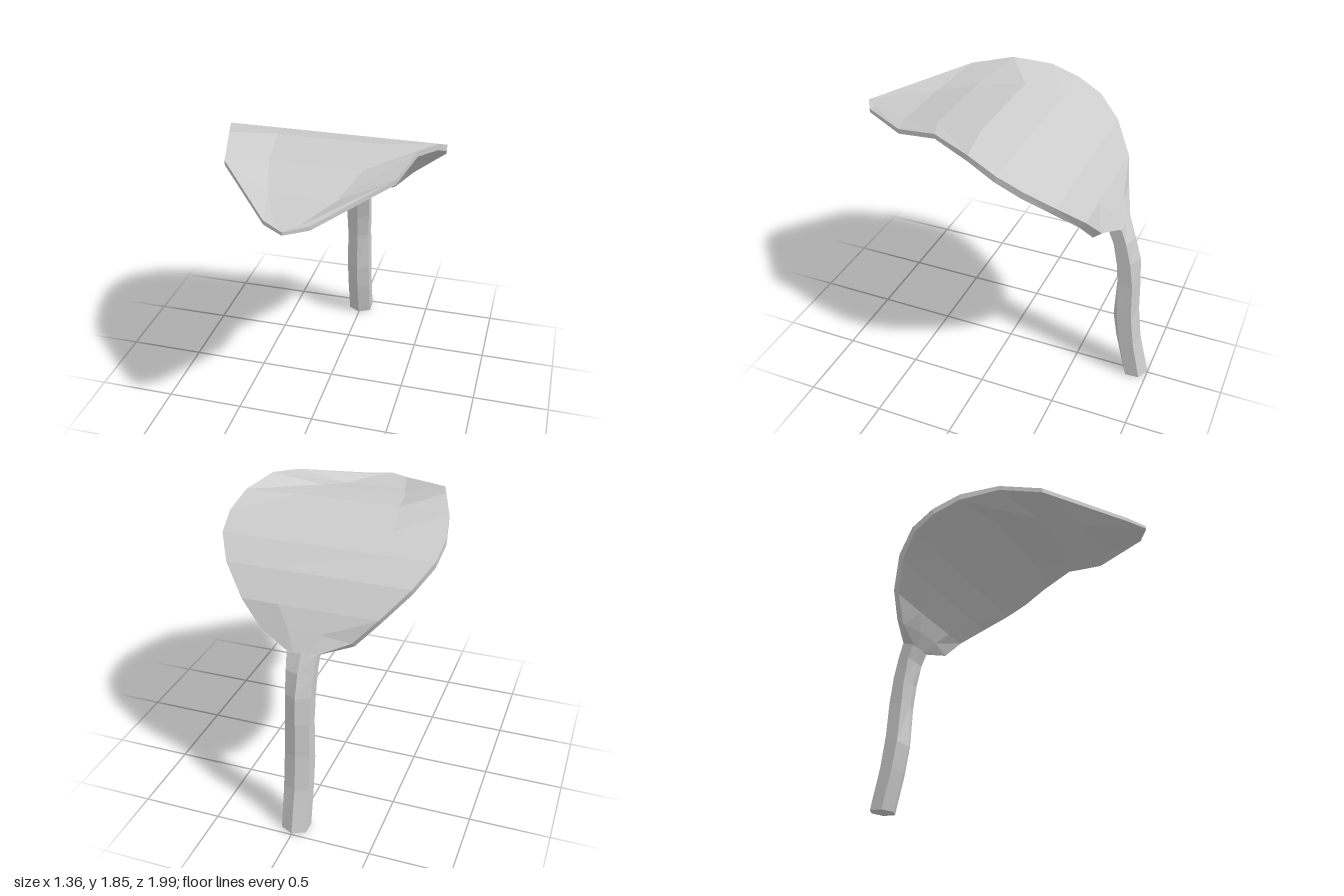
import * as THREE from 'three';

// Skin a series of rings (each clockwise seen from the start end) and cap both ends
function loft(rings) {
  const pos = [];
  const tri = (...pts) => pts.forEach((p) => pos.push(...p));
  const n = rings[0].length;
  for (let r = 0; r < rings.length - 1; r++) {
    const a = rings[r], b = rings[r + 1];
    for (let i = 0; i < n; i++) {
      const j = (i + 1) % n;
      tri(a[i], a[j], b[j]);
      tri(a[i], b[j], b[i]);
    }
  }
  const first = rings[0], last = rings[rings.length - 1];
  for (let i = 1; i < n - 1; i++) {
    tri(first[0], first[i + 1], first[i]);
    tri(last[0], last[i], last[i + 1]);
  }
  const geo = new THREE.BufferGeometry();
  geo.setAttribute('position', new THREE.Float32BufferAttribute(pos, 3));
  geo.computeVertexNormals();
  return geo;
}

// Blade rows from tip to stem: inner x,y,z, rim x,y,z, then underside drop y,z of inner and rim
const bladeRows = [
  [0, 1.655, 0.99, 0.005, 1.655, 0.99, -0.02, 0, -0.02, 0],
  [0.07, 1.658, 0.91, 0.13, 1.665, 0.91, -0.023, 0, -0.025, 0],
  [0.2, 1.685, 0.62, 0.5, 1.79, 0.49, -0.03, 0, -0.03, 0],
  [0.28, 1.755, 0.35, 0.57, 1.85, 0.22, -0.03, 0.02, -0.03, 0],
  [0.33, 1.795, 0.04, 0.65, 1.81, -0.02, -0.05, 0.05, -0.04, 0],
  [0.36, 1.735, -0.2, 0.68, 1.735, -0.2, -0.075, 0.06, -0.04, 0.01],
  [0.35, 1.655, -0.36, 0.66, 1.655, -0.36, -0.085, 0.06, -0.04, 0.02],
  [0.3, 1.54, -0.51, 0.57, 1.54, -0.51, -0.09, 0.06, -0.04, 0.03],
  [0.19, 1.385, -0.64, 0.42, 1.385, -0.64, -0.075, 0.07, -0.04, 0.04],
  [0.1, 1.27, -0.71, 0.28, 1.24, -0.695, -0.06, 0.09, -0.045, 0.05],
  [0.05, 1.165, -0.77, 0.09, 1.165, -0.765, -0.035, 0.1, -0.035, 0.09],
];

function bladeRing([mx, my, mz, ex, ey, ez, mdy, mdz, edy, edz]) {
  return [
    [-ex, ey, ez], [-mx, my, mz], [mx, my, mz], [ex, ey, ez],
    [ex, ey + edy, ez + edz], [mx, my + mdy, mz + mdz],
    [-mx, my + mdy, mz + mdz], [-ex, ey + edy, ez + edz],
  ];
}

// Stem rows from the ground up: front y, back y, half width, z of front, side front, side back, back
const stemRows = [
  [0, 0.01, 0.08, -0.83, -0.87, -0.96, -1],
  [0.26, 0.29, 0.08, -0.765, -0.81, -0.9, -0.93],
  [0.43, 0.53, 0.08, -0.735, -0.78, -0.87, -0.9],
  [0.72, 0.74, 0.075, -0.742, -0.765, -0.86, -0.892],
  [0.88, 0.92, 0.08, -0.73, -0.75, -0.835, -0.88],
  [1.04, 1.06, 0.085, -0.71, -0.72, -0.8, -0.83],
  [1.14, 1.165, 0.09, -0.67, -0.68, -0.765, -0.77],
];

function stemRing([yf, yb, w, zf, zsf, zsb, zb]) {
  const y1 = yf + (yb - yf) * 0.25, y2 = yf + (yb - yf) * 0.75;
  return [
    [0, yf, zf], [w, y1, zsf], [w, y2, zsb],
    [0, yb, zb], [-w, y2, zsb], [-w, y1, zsf],
  ];
}

export function createModel() {
  const group = new THREE.Group();
  group.name = 'leaf';
  const material = new THREE.MeshStandardMaterial({ color: 0xcccccc, flatShading: true });
  const add = (name, rings) => {
    const mesh = new THREE.Mesh(loft(rings), material);
    mesh.name = name;
    group.add(mesh);
  };
  add('leafBlade', bladeRows.map(bladeRing));
  add('stem', stemRows.map(stemRing));
  return group;
}
